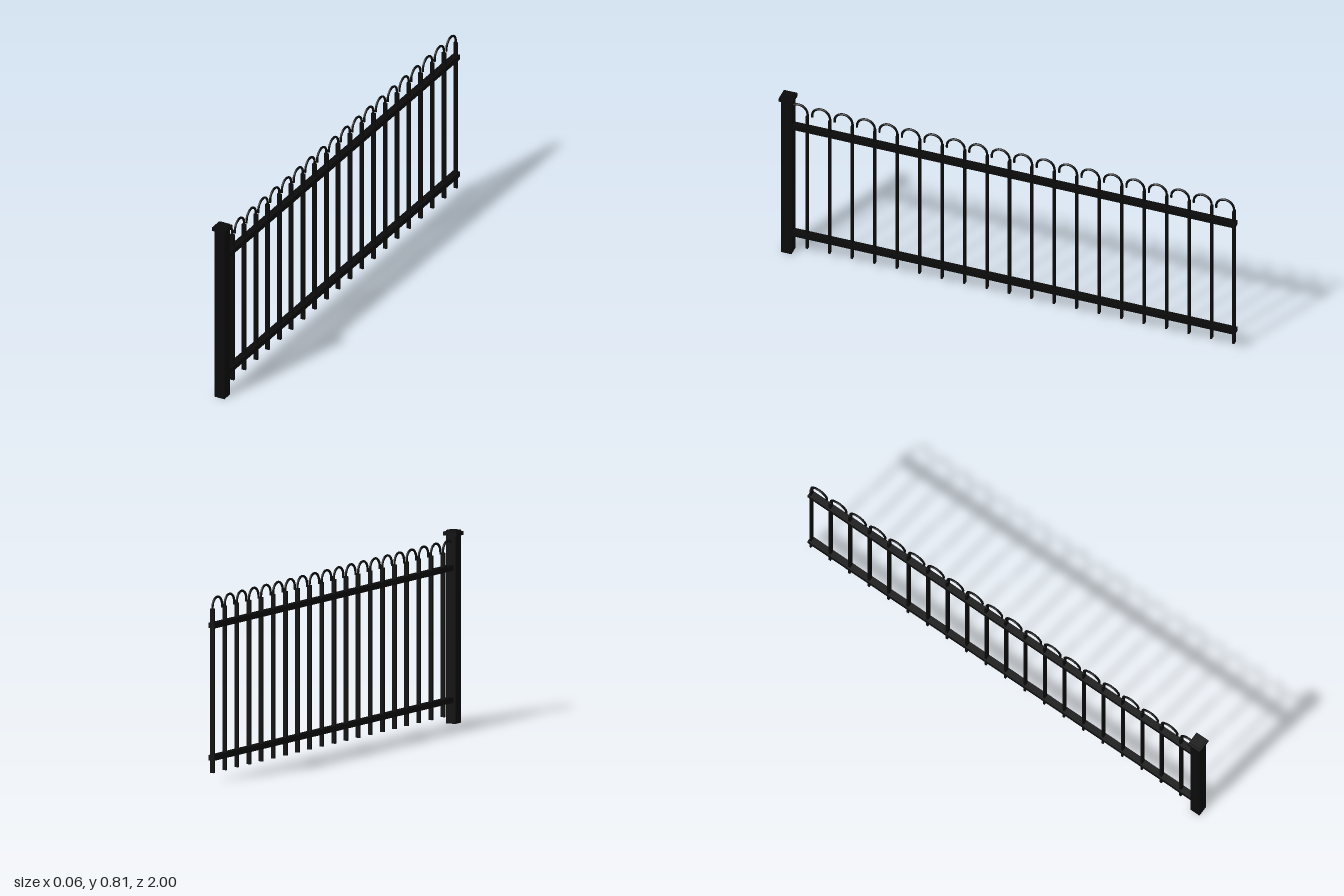
import * as THREE from 'three';

export function createModel() {
  const group = new THREE.Group();
  group.name = 'fencePanel';
  const black = new THREE.MeshStandardMaterial({ color: 0x0a0a0a });
  black.name = 'blackIron';

  function add(name, geometry, x, y, z) {
    const mesh = new THREE.Mesh(geometry, black);
    mesh.name = name;
    mesh.position.set(x, y, z);
    group.add(mesh);
  }
  const box = (name, w, h, d, y, z) => add(name, new THREE.BoxGeometry(w, h, d), 0, y, z);

  // end post with its cap collar
  const postZ = 0.97;
  box('post', 0.046, 0.805, 0.046, 0.4025, postZ);
  box('postCap', 0.063, 0.016, 0.06, 0.791, postZ);

  // horizontal rails, running from inside the post to the far end
  const railEnd = -1, railStart = 0.96;
  for (const [name, y] of [['lowerRail', 0.099], ['upperRail', 0.65]]) {
    box(name, 0.03, 0.022, railStart - railEnd, y, (railStart + railEnd) / 2);
  }

  // hoop: a half circle rising from the picket, with a short free tail
  const r = 0.039, springY = 0.726;
  const points = [new THREE.Vector3(0, 0.712 - springY, -r)];
  for (let i = 0; i <= 12; i++) {
    const a = (i / 12) * Math.PI;
    points.push(new THREE.Vector3(0, r * Math.sin(a), -r * Math.cos(a)));
  }
  points.push(new THREE.Vector3(0, 0.716 - springY, r));
  const hoop = new THREE.TubeGeometry(new THREE.CatmullRomCurve3(points), 28, 0.005, 8);
  const tailCap = new THREE.CircleGeometry(0.005, 8).rotateX(Math.PI / 2);

  // pickets, each carrying one hoop that leans towards the post
  const count = 20, first = 0.885, last = -0.991;
  const bottom = 0.035, top = 0.72;
  const picket = new THREE.BoxGeometry(0.018, top - bottom, 0.009);
  for (let i = 0; i < count; i++) {
    const z = first + ((last - first) * i) / (count - 1);
    add('picket', picket, 0, (top + bottom) / 2, z);
    add('hoop', hoop, 0, springY, z + r);
    add('hoopEnd', tailCap, 0, 0.716, z + 2 * r);
  }
  return group;
}
